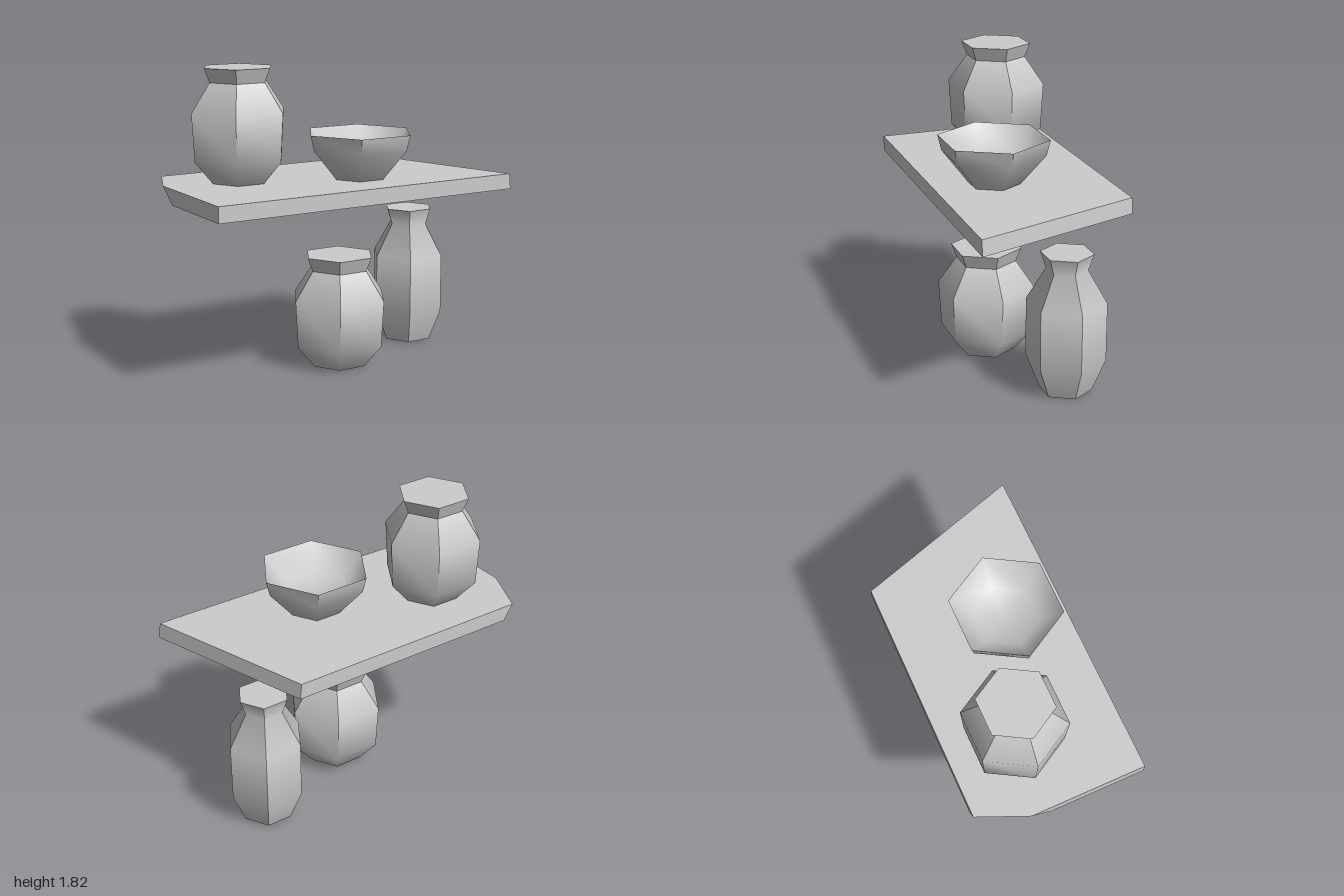
import * as THREE from 'three';
import { ConvexGeometry } from 'three/addons/geometries/ConvexGeometry.js';

const SIDES = 6;
const APOTHEM = Math.cos(Math.PI / SIDES);

// Six-sided vessel from a profile of [radius, height, flags], bottom to top.
// Flag c creases the ring; flag r rounds the normals across the corners.
function vessel(profile) {
  const position = [], normal = [];
  const slopes = profile.slice(1).map(([r, y], i) => {
    const [r0, y0] = profile[i];
    const out = y - y0, up = (r0 - r) * APOTHEM;
    const len = Math.hypot(out, up) || 1;
    return [out / len, up / len];
  });
  const addVertex = (seg, ring, corner, side) => {
    const [r, y, flags = ''] = profile[ring];
    const a = corner * Math.PI * 2 / SIDES;
    position.push(r * Math.cos(a), y, r * Math.sin(a));
    let [out, up] = slopes[seg];
    const other = slopes[ring === seg ? seg - 1 : seg + 1];
    if (!flags.includes('c') && other) {
      out += other[0];
      up += other[1];
    }
    const b = flags.includes('r') ? a : (side + 0.5) * Math.PI * 2 / SIDES;
    const n = new THREE.Vector3(out * Math.cos(b), up, out * Math.sin(b)).normalize();
    normal.push(n.x, n.y, n.z);
  };
  for (let seg = 0; seg < slopes.length; seg++) {
    for (let s = 0; s < SIDES; s++) {
      const quad = [[seg, s], [seg + 1, s], [seg + 1, s + 1], [seg, s], [seg + 1, s + 1], [seg, s + 1]];
      for (const [ring, corner] of quad) addVertex(seg, ring, corner, s);
    }
  }
  const g = new THREE.BufferGeometry();
  g.setAttribute('position', new THREE.Float32BufferAttribute(position, 3));
  g.setAttribute('normal', new THREE.Float32BufferAttribute(normal, 3));
  return g;
}

export function createModel() {
  const group = new THREE.Group();
  const clay = new THREE.MeshStandardMaterial({ color: 0xcccccc });
  clay.name = 'plain grey';
  const add = (name, geometry, x = 0, y = 0, z = 0) => {
    const mesh = new THREE.Mesh(geometry, clay);
    mesh.name = name;
    mesh.position.set(x, y, z);
    group.add(mesh);
  };

  // Shelf board with a slanted end and a bevelled, broken-off back corner
  const top = [[-1, -0.21], [-0.87, -0.515], [0.66, -0.515], [0.99, 0.51], [-1, 0.51]];
  const bottom = [[-1, -0.08], [-0.81, -0.515], [0.67, -0.515], [1, 0.51], [-1, 0.51]];
  add('shelf', new ConvexGeometry([
    ...top.map(([x, z]) => new THREE.Vector3(x, 1.14, z)),
    ...bottom.map(([x, z]) => new THREE.Vector3(x, 1.045, z)),
  ]));

  // Two matching round-bellied pots, one on the shelf and one below
  const pot = vessel([
    [0, 0, 'c'], [0.17, 0, 'cr'], [0.289, 0.138, 'r'], [0.305, 0.425],
    [0.185, 0.597, 'c'], [0.219, 0.682, 'c'], [0, 0.682, 'c'],
  ]);
  add('shelfPot', pot, -0.548, 1.137, -0.115);
  add('floorPot', pot, -0.01, 0, 0.142);

  // Tall vase
  add('tallVase', vessel([
    [0, 0, 'c'], [0.158, 0, 'c'], [0.238, 0.2], [0.238, 0.56],
    [0.123, 0.76], [0.157, 0.86, 'c'], [0, 0.86, 'c'],
  ]), 0.67, 0, -0.113);

  // Open bowl with a softly shaded hollow
  add('bowl', vessel([
    [0, 0, 'c'], [0.16, 0, 'cr'], [0.315, 0.185, 'r'], [0.338, 0.28, 'c'],
    [0.338, 0.28, 'cr'], [0.2, 0.13, 'r'], [0, 0.13, 'r'],
  ]), 0.132, 1.138, 0.14);

  return group;
}
